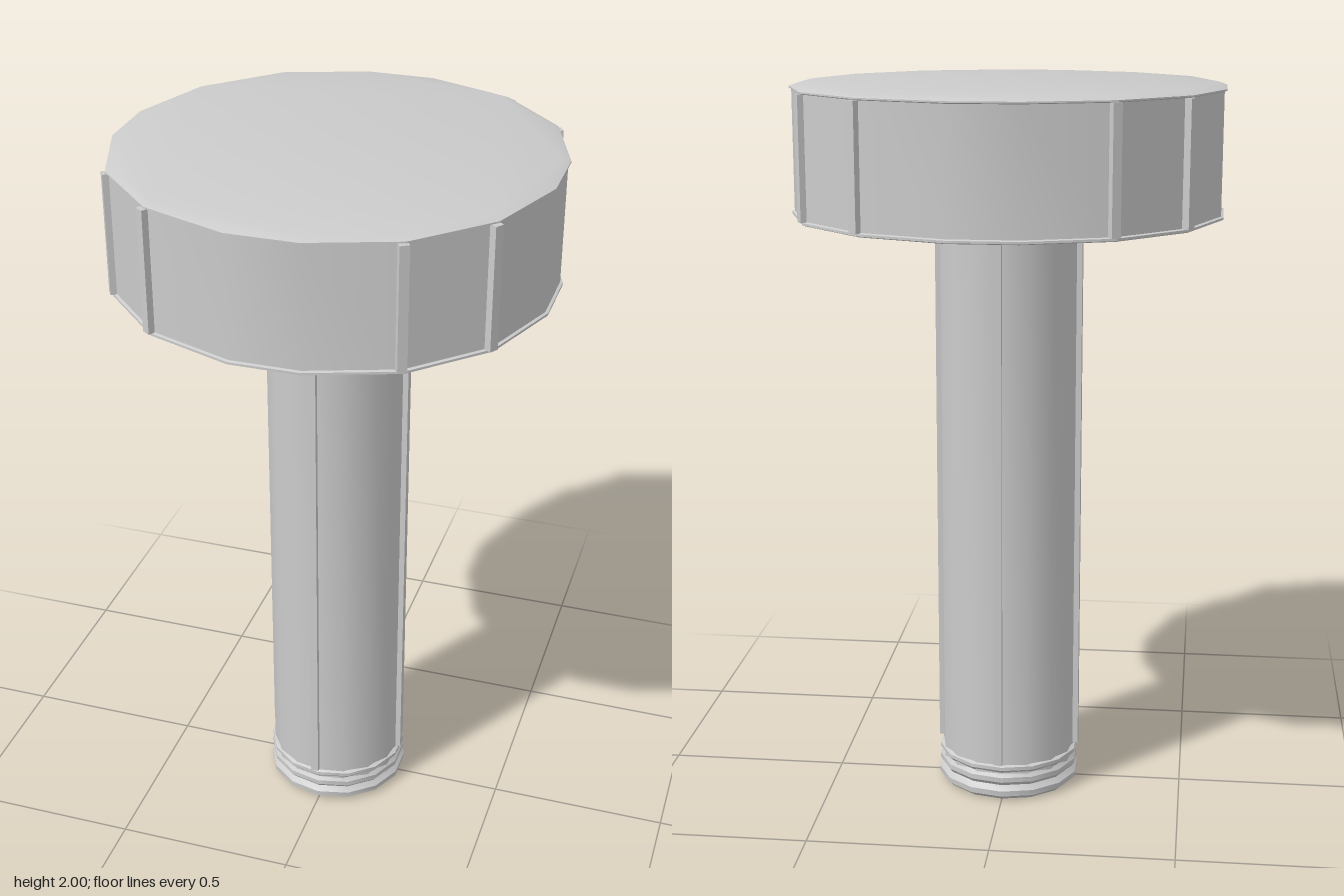
import * as THREE from 'three';
import { toCreasedNormals } from 'three/addons/utils/BufferGeometryUtils.js';

const material = new THREE.MeshStandardMaterial({ color: 0xcccccc });
const TURN = Math.PI / 2;

export function createModel() {
  const model = new THREE.Group();

  function add(name, geometry, crease = 0.38) {
    const mesh = new THREE.Mesh(toCreasedNormals(geometry, crease), material);
    mesh.name = name;
    model.add(mesh);
    return mesh;
  }

  // Head outline: one quarter of the corners, turned four times
  const quarter = [[0.095, 0.58], [0.325, 0.495], [0.5, 0.32], [0.58, 0.09]];
  function outline(scale) {
    const points = [];
    for (let i = 0; i < 4; i++) {
      for (const [x, y] of quarter) {
        points.push(new THREE.Vector2(x, y).multiplyScalar(scale)
          .rotateAround(new THREE.Vector2(), -i * TURN));
      }
    }
    return new THREE.Shape(points);
  }

  // Horizontal slab of the head between two heights, with an optional chamfer
  function slab(name, scale, bottom, top, chamfer = 0, rise = 0) {
    const geometry = new THREE.ExtrudeGeometry(outline(scale), {
      depth: top - bottom - 2 * rise,
      bevelEnabled: chamfer > 0,
      bevelSize: chamfer,
      bevelThickness: rise,
      bevelOffset: -chamfer,
      bevelSegments: 1,
    });
    geometry.rotateX(-TURN);
    geometry.translate(0, bottom + rise, 0);
    add(name, geometry);
  }
  slab('headBody', 0.988, 1.656, 1.992);
  slab('headTopCap', 1, 1.98, 2, 0.022, 0.008);
  slab('headBottomLip', 1, 1.65, 1.662, 0.008, 0.003);

  // Upright ribs flanking the four diagonal flats of the head
  for (let i = 0; i < 4; i++) {
    for (const degrees of [34, 58]) {
      const angle = THREE.MathUtils.degToRad(degrees) + i * TURN;
      const rib = add('headRib', new THREE.BoxGeometry(0.025, 0.326, 0.025));
      rib.position.set(Math.sin(angle) * 0.589, 1.823, -Math.cos(angle) * 0.589);
      rib.rotation.y = -angle;
    }
  }

  // Turned parts, profiles given as [radius, height] from bottom to top
  function turned(name, profile, sides) {
    const points = profile.map(([r, y]) => new THREE.Vector2(r, y));
    add(name, new THREE.LatheGeometry(points, sides), 0.6);
  }
  turned('undersideDisc', [[0, 1.644], [0.37, 1.644], [0.37, 1.634], [0.385, 1.634], [0.4, 1.655]], 16);
  turned('shaftCollar', [[0, 1.634], [0.215, 1.634], [0.225, 1.65]], 16);
  turned('shaft', [[0, 0.05], [0.192, 0.05], [0.192, 1.65], [0, 1.65]], 16);
  turned('footCollar', [
    [0, 0], [0.185, 0], [0.202, 0.014], [0.203, 0.03], [0.19, 0.044],
    [0.2, 0.056], [0.2, 0.07], [0.191, 0.082], [0.2, 0.092], [0.2, 0.102], [0.185, 0.11],
  ], 14);

  // Four thin ribs along the shaft
  for (let i = 0; i < 4; i++) {
    const angle = i * TURN - 0.045;
    const rib = add('shaftRib', new THREE.BoxGeometry(0.022, 1.53, 0.03));
    rib.position.set(Math.sin(angle) * 0.189, 0.875, Math.cos(angle) * 0.189);
    rib.rotation.y = angle;
  }

  return model;
}
